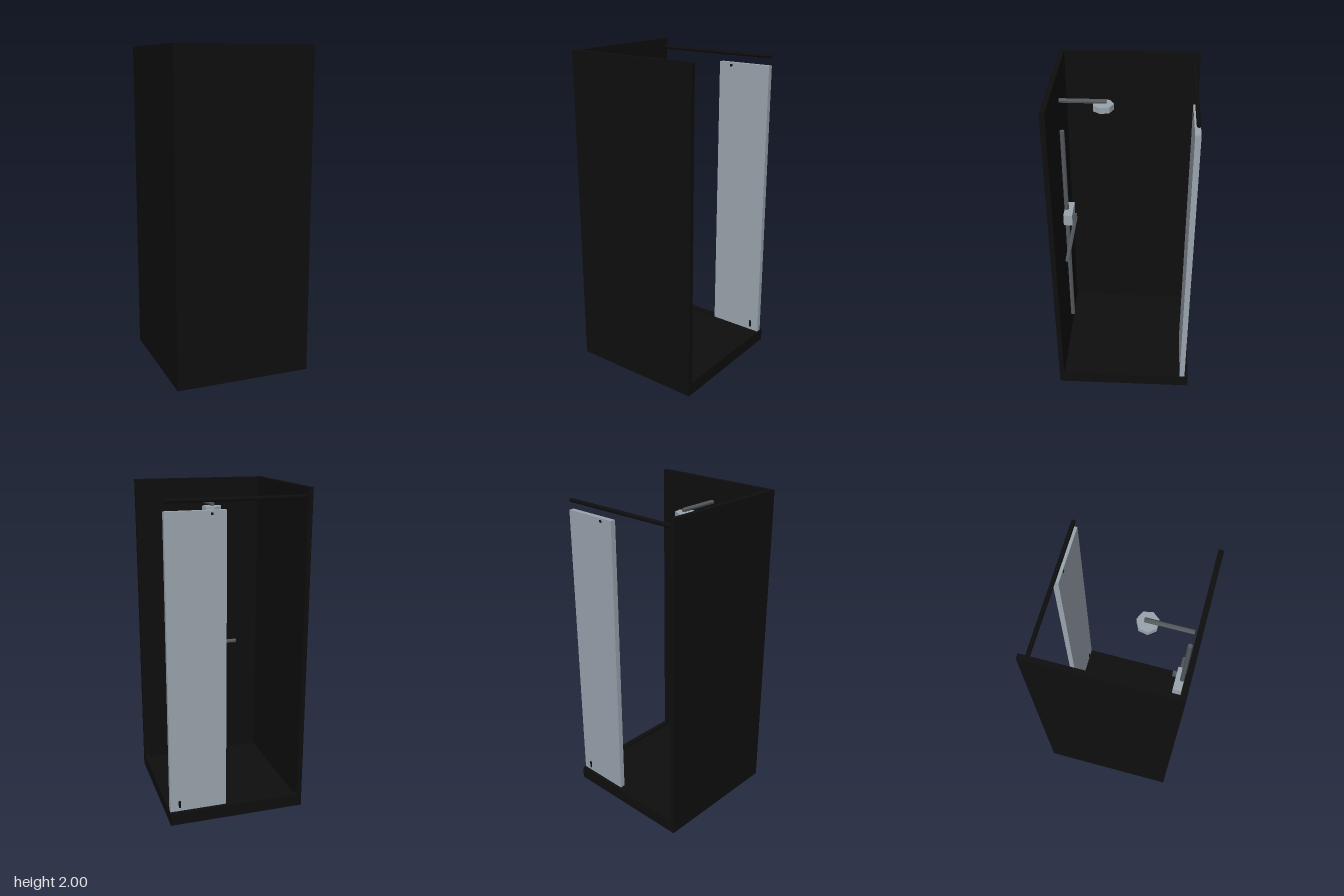
import * as THREE from 'three';

const mat = (name, color) => {
  const m = new THREE.MeshStandardMaterial({ color, flatShading: true });
  m.name = name;
  return m;
};

export function createModel() {
  const black = mat('matte black', 0x0e0e0e);
  const steel = mat('dark steel', 0x53585c);
  const pale = mat('pale blue grey', 0x9aa4ae);

  const model = new THREE.Group();
  model.name = 'showerCabin';

  const add = (name, geometry, material) => {
    const mesh = new THREE.Mesh(geometry, material);
    mesh.name = name;
    model.add(mesh);
    return mesh;
  };
  // box given by its min and max on each axis
  const box = (name, material, [x0, x1], [y0, y1], [z0, z1]) =>
    add(name, new THREE.BoxGeometry(x1 - x0, y1 - y0, z1 - z0), material)
      .position.set((x0 + x1) / 2, (y0 + y1) / 2, (z0 + z1) / 2);
  // straight seven-sided rod along one axis
  const rod = (name, material, axis, radius, length, x, y, z) => {
    const g = new THREE.CylinderGeometry(radius, radius, length, 7);
    if (axis === 'x') g.rotateZ(Math.PI / 2);
    if (axis === 'z') g.rotateX(Math.PI / 2);
    add(name, g, material).position.set(x, y, z);
  };

  const H = 0.427;      // half footprint
  const inner = 0.397;  // inner wall plane
  const trayTop = 0.08;

  // tray: slab with a raised rim and a drain
  box('trayBase', black, [-H, H], [0, 0.06], [-H, H]);
  const rim = new THREE.Shape([[-H, -H], [H, -H], [H, H], [-H, H]].map(p => new THREE.Vector2(...p)));
  rim.holes.push(new THREE.Path([[-inner, -inner], [-inner, inner], [inner, inner], [inner, -inner]]
    .map(p => new THREE.Vector2(...p))));
  const rimGeometry = new THREE.ExtrudeGeometry(rim, { depth: trayTop - 0.06, bevelEnabled: false });
  rimGeometry.rotateX(-Math.PI / 2);
  add('trayRim', rimGeometry, black).position.y = 0.06;
  add('drain', new THREE.CylinderGeometry(0.04, 0.04, 0.006, 12), black).position.set(0, 0.062, 0);

  // two solid walls
  box('frontWall', black, [-H, H], [trayTop, 2], [inner, H]);
  box('sideWall', black, [-H, -inner], [trayTop, 2], [-H, inner]);

  // screen panel and the rail above it
  box('screenPanel', pale, [0.07, 0.424], [trayTop, 1.89], [-0.405, -0.372]);
  rod('topRail', black, 'x', 0.0125, 0.824, 0.012, 1.945, -0.389);

  // small fittings showing on both faces of the panel
  for (const [x, y, h] of [[0.155, 1.872, 0.014], [0.365, 0.125, 0.045]]) {
    box('panelFitting', black, [x - 0.007, x + 0.007], [y - h / 2, y + h / 2], [-0.408, -0.369]);
  }

  // shower column: riser, overhead arm and head
  rod('riserPipe', steel, 'y', 0.0145, 1.445, 0, 0.9475, 0.378);
  rod('overheadArm', steel, 'z', 0.0135, 0.27, 0, 1.863, 0.25);
  const head = new THREE.CylinderGeometry(0.062, 0.062, 0.036, 7, 1, false, Math.PI);
  add('showerHead', head, pale).position.set(0, 1.832, 0.134);

  // mixer block with its knob, and the grab bar
  box('mixerBlock', pale, [-0.077, 0.077], [1.045, 1.118], [0.336, 0.391]);
  box('mixerKnob', steel, [0.028, 0.047], [1.055, 1.108], [0.311, 0.337]);
  rod('grabBar', steel, 'x', 0.0135, 0.47, 0, 0.889, 0.357);

  return model;
}
